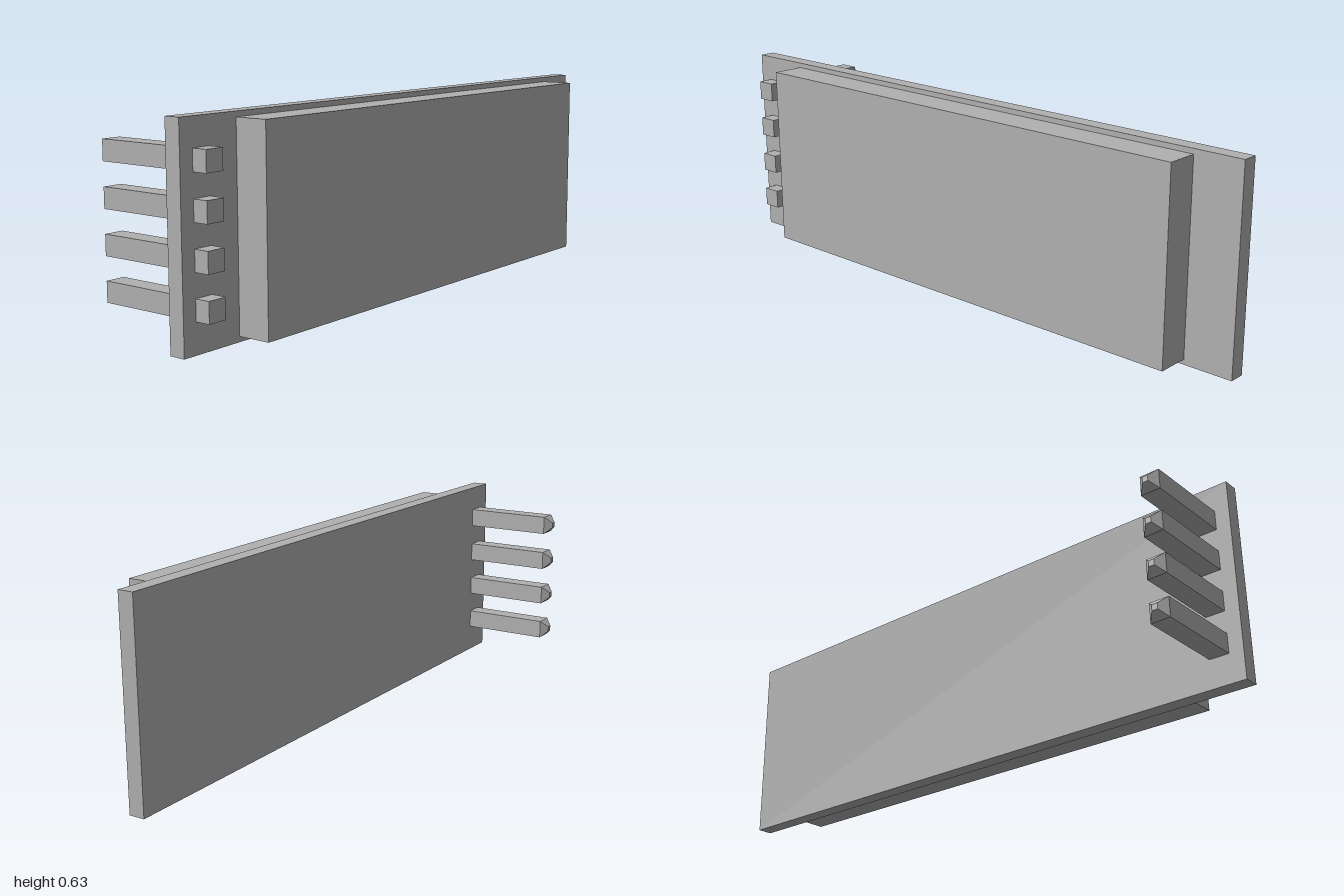
import * as THREE from 'three';

export function createModel() {
  const model = new THREE.Group();
  model.name = 'displayModule';
  const grey = new THREE.MeshStandardMaterial({ color: 0xb0b0b0, flatShading: true });
  grey.name = 'plain grey';

  // Box given by its limits on each axis
  function box(name, [x0, x1], [y0, y1], [z0, z1], parent = model) {
    const mesh = new THREE.Mesh(new THREE.BoxGeometry(x1 - x0, y1 - y0, z1 - z0), grey);
    mesh.position.set((x0 + x1) / 2, (y0 + y1) / 2, (z0 + z1) / 2);
    mesh.name = name;
    parent.add(mesh);
  }

  // Circuit board and the raised display block
  box('board', [-1, 1], [0, 0.632], [0.081, 0.132]);
  box('displayBlock', [-0.79, 0.842], [0.016, 0.616], [0.132, 0.237]);

  // Square header pins through the board, with bevelled tips at the back
  const half = 0.031, tipHalf = 0.009, tipStart = -0.213, tipEnd = -0.237;
  const tipLength = tipStart - tipEnd;
  const tipGeometry = new THREE.CylinderGeometry(
    tipHalf * Math.SQRT2, half * Math.SQRT2, tipLength, 4)
    .rotateY(Math.PI / 4)
    .rotateX(-Math.PI / 2);
  const pinX = -0.923;
  for (let i = 0; i < 4; i++) {
    const y = 0.122 + i * 0.132;
    const pin = new THREE.Group();
    pin.name = 'headerPin' + (i + 1);
    box('pinShaft', [pinX - half, pinX + half], [y - half, y + half], [tipStart, 0.18], pin);
    const tip = new THREE.Mesh(tipGeometry, grey);
    tip.name = 'pinTip';
    tip.position.set(pinX, y, (tipStart + tipEnd) / 2);
    pin.add(tip);
    model.add(pin);
  }
  return model;
}
